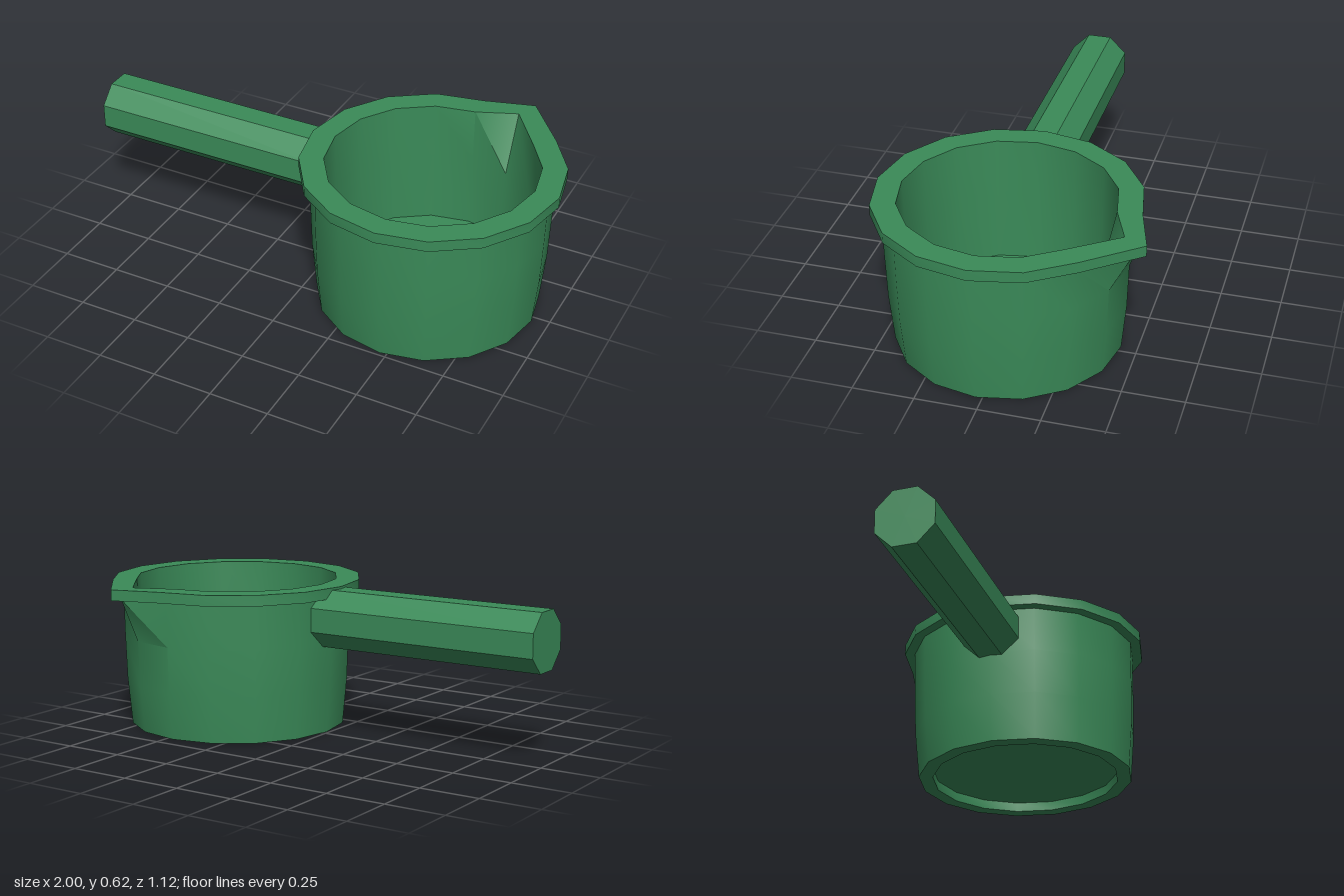
import * as THREE from 'three';
import { toCreasedNormals } from 'three/addons/utils/BufferGeometryUtils.js';

export function createModel() {
  const model = new THREE.Group();
  model.name = 'saucepan';
  const green = new THREE.MeshStandardMaterial({ color: 0x3a8a58 });

  const add = (name, geometry, x, y, z) => {
    const mesh = new THREE.Mesh(toCreasedNormals(geometry, 0.55), green);
    mesh.name = name;
    mesh.position.set(x, y, z);
    model.add(mesh);
    return mesh;
  };

  // Pot wall as one closed profile: [radius, height, spout pull at that height]
  const profile = [
    [0, 0.04, 0], [0.4, 0.04, 0], [0.4, 0, 0], [0.46, 0, 0],       // recessed base and foot ring
    [0.478, 0.2, 0], [0.484, 0.39, 0], [0.487, 0.58, 0.095],       // outer wall
    [0.53, 0.58, 0.1], [0.53, 0.625, 0.1], [0.43, 0.625, 0.1],     // rim
    [0.426, 0.39, 0], [0.42, 0.08, 0], [0, 0.08, 0],               // inner wall and floor
  ];
  const pot = new THREE.LatheGeometry(profile.map(([r, y]) => new THREE.Vector2(r, y)), 16);

  // Pouring spout: pull one column of vertices backwards near the rim
  const spoutColumn = 7;
  profile.forEach(([, , pull], j) => {
    const i = spoutColumn * profile.length + j;
    pot.attributes.position.setZ(i, pot.attributes.position.getZ(i) - pull);
  });
  add('pot', pot, 0.47, 0, 0.026);

  // Octagonal handle with flats on top and sides
  const length = 1.02;
  const handle = new THREE.CylinderGeometry(0.13, 0.13, length, 8);
  handle.rotateY(Math.PI / 8);
  handle.rotateZ(Math.PI / 2);
  add('handle', handle, -1 + length / 2, 0.495, 0.025);

  return model;
}
